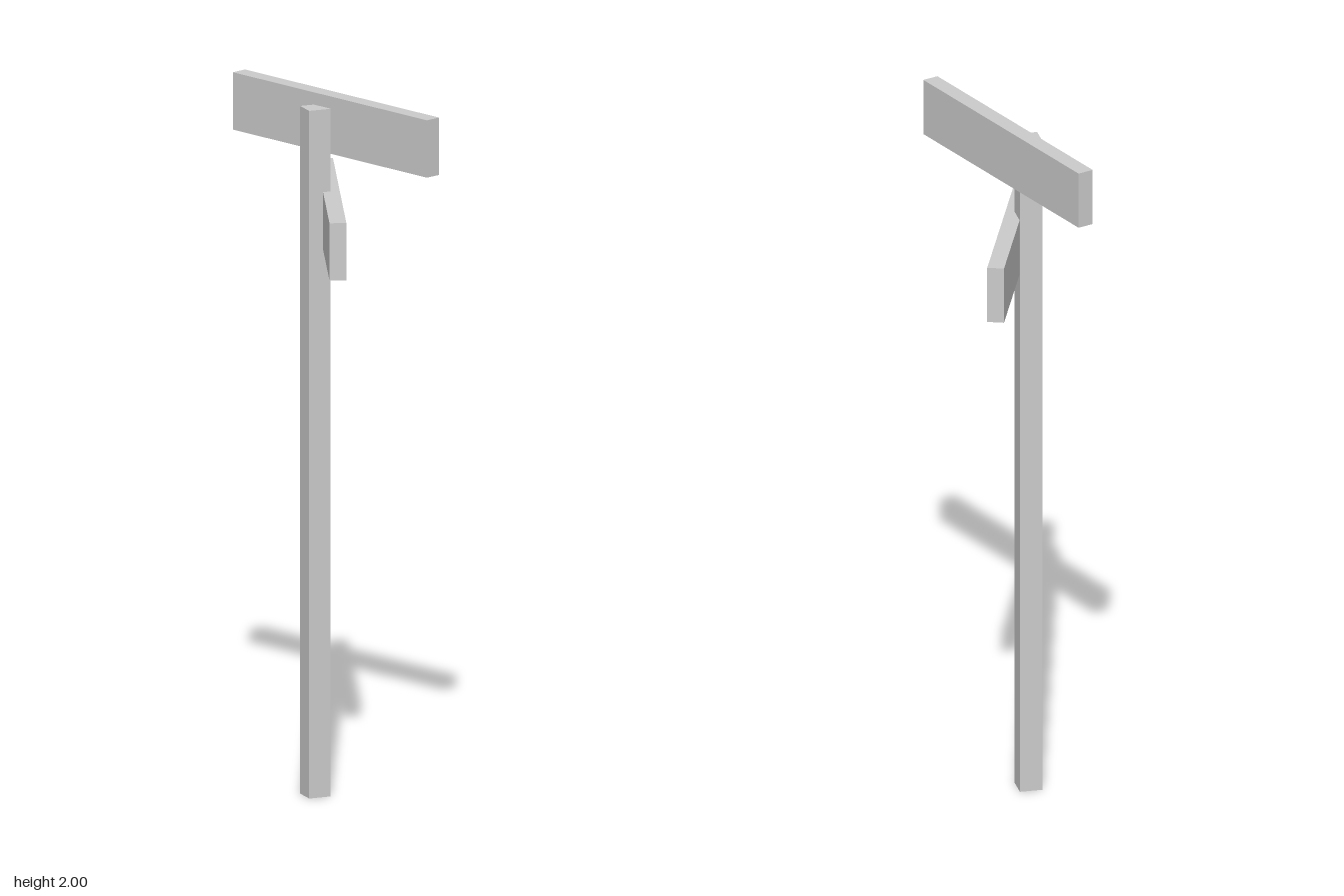
import * as THREE from 'three';

export function createModel() {
  const model = new THREE.Group();
  model.name = 'signpost';
  const material = new THREE.MeshStandardMaterial({ color: 0xcccccc, flatShading: true });

  const addBox = (name, size, position, turn = 0) => {
    const mesh = new THREE.Mesh(new THREE.BoxGeometry(...size), material);
    mesh.name = name;
    mesh.position.set(...position);
    mesh.rotation.y = turn;
    model.add(mesh);
  };

  // Square upright
  addBox('post', [0.064, 1.965, 0.064], [-0.048, 0.9825, -0.021]);

  // Two boards crossing at mirrored angles, one on each side of the post
  const turn = THREE.MathUtils.degToRad(20.4);
  addBox('upperBoard', [0.047, 0.164, 0.782], [0.006, 1.918, -0.001], turn);
  addBox('lowerBoard', [0.047, 0.164, 0.77], [-0.01, 1.647, 0.0025], -turn);

  return model;
}
